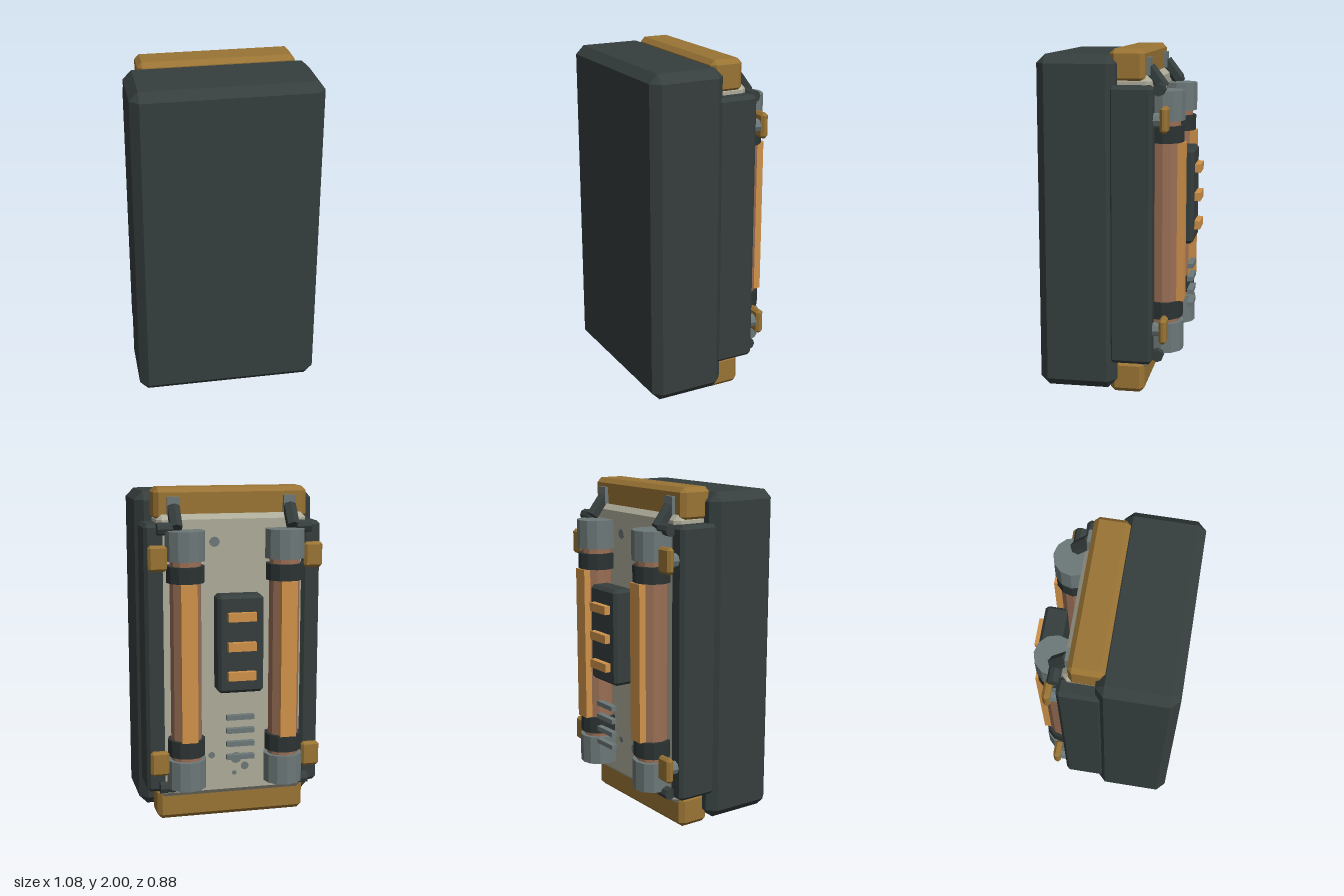
import * as THREE from 'three';
import { ConvexGeometry } from 'three/addons/geometries/ConvexGeometry.js';

const material = (name, color) => {
  const m = new THREE.MeshStandardMaterial({ color, flatShading: true });
  m.name = name;
  return m;
};

export function createModel() {
  const group = new THREE.Group();
  const dark = material('dark slate', 0x363e3e);
  const black = material('collar black', 0x2c3333);
  const bronze = material('bronze', 0x9a7434);
  const copper = material('bright copper', 0xd0924a);
  const tubeBrown = material('tube brown', 0x9a6f56);
  const steel = material('steel grey', 0x6c7878);
  const ivory = material('ivory grey', 0xaeac9a);

  const add = (name, geometry, mat, x, y, z) => {
    const mesh = new THREE.Mesh(geometry, mat);
    mesh.name = name;
    mesh.position.set(x, y, z);
    group.add(mesh);
    return mesh;
  };

  // Box with flat chamfers on every edge, given by its size
  const chamferBox = (w, h, d, c) => {
    const pts = [];
    for (const sx of [-1, 1]) for (const sy of [-1, 1]) for (const sz of [-1, 1]) {
      const [a, b, e] = [w / 2, h / 2, d / 2];
      pts.push(
        new THREE.Vector3(sx * a, sy * (b - c), sz * (e - c)),
        new THREE.Vector3(sx * (a - c), sy * b, sz * (e - c)),
        new THREE.Vector3(sx * (a - c), sy * (b - c), sz * e));
    }
    return new ConvexGeometry(pts);
  };

  // Upright 12-sided drum between two heights
  const drum = (name, r, y0, y1, mat, x, z) =>
    add(name, new THREE.CylinderGeometry(r, r, y1 - y0, 12), mat, x, (y0 + y1) / 2, z);

  // Main body, back plate and end bars
  add('frontSlab', chamferBox(1.08, 1.93, 0.45, 0.05), dark, 0, 1.005, 0.215);
  add('backPlate', chamferBox(0.89, 1.7, 0.22, 0.03), ivory, 0, 1.0, -0.09);
  for (const y of [0.095, 1.905])
    add('endBar', chamferBox(0.91, 0.19, 0.2, 0.027), bronze, 0, y, -0.065);

  for (const s of [-1, 1]) {
    const side = s > 0 ? 'left' : 'right';
    // Side rail
    add(side + 'Rail', chamferBox(0.11, 1.6, 0.25, 0.02), dark, s * 0.47, 1.0, -0.095);

    // Tube with contact strip, collars and end caps
    const x = s * 0.295, z = -0.26;
    drum(side + 'Tube', 0.092, 0.3, 1.7, tubeBrown, x, z);
    add(side + 'TubeStrip', new THREE.BoxGeometry(0.095, 0.93, 0.05), copper, x, 1.005, -0.355);
    for (const [y0, y1] of [[0.44, 0.54], [1.47, 1.565]])
      drum(side + 'Collar', 0.112, y0, y1, black, x, z);
    for (const [y0, y1] of [[0.24, 0.415], [1.595, 1.765]])
      drum(side + 'Cap', 0.117, y0, y1, steel, x, z);

    // Clips on short posts, and corner nuts
    for (const t of [-1, 1]) {
      const post = add(side + 'ClipPost', new THREE.CylinderGeometry(0.04, 0.04, 0.06, 8),
        steel, s * 0.465, 1.005 + t * 0.605, -0.235);
      post.rotation.x = Math.PI / 2;
      add(side + 'Clip', chamferBox(0.11, 0.148, 0.045, 0.015), bronze,
        s * 0.46, 1.005 + t * 0.607, -0.28);
      const nut = add(side + 'Nut', new THREE.CylinderGeometry(0.036, 0.036, 0.09, 8),
        dark, s * 0.41, 1.005 + t * 0.77, -0.243);
      nut.rotation.z = Math.PI / 2;
    }

    // Strut sloping from the top bar to the rail end
    add(side + 'StrutMount', new THREE.BoxGeometry(0.075, 0.1, 0.03), steel, s * 0.345, 1.9, -0.172);
    const strut = add(side + 'Strut', new THREE.CylinderGeometry(0.04, 0.04, 0.14, 6),
      dark, s * 0.345, 1.835, -0.215);
    strut.rotation.x = 0.65;
  }

  // Central module with copper contacts
  add('controlModule', chamferBox(0.27, 0.57, 0.13, 0.018), dark, 0, 1.12, -0.345);
  for (const y of [0.94, 1.112, 1.284])
    add('contact', new THREE.BoxGeometry(0.165, 0.05, 0.04), copper, 0, y, -0.425);

  // Vent fins below the module
  for (let i = 0; i < 4; i++)
    add('ventFin', new THREE.BoxGeometry(0.165, 0.028, 0.035), steel, 0, 0.445 + i * 0.08, -0.388);

  // Wear spots on the back plate: x, y, radius
  const spots = [[0.11, 1.69, 0.03], [-0.11, 1.34, 0.025], [-0.11, 1.17, 0.02], [-0.02, 0.375, 0.035],
    [-0.075, 0.32, 0.025], [-0.01, 0.28, 0.014], [0.13, 0.4, 0.02]];
  for (const [x, y, r] of spots) {
    const spot = add('wearSpot', new THREE.CylinderGeometry(r, r, 0.006, 10), steel, x, y, -0.2);
    spot.rotation.x = Math.PI / 2;
  }
  return group;
}
